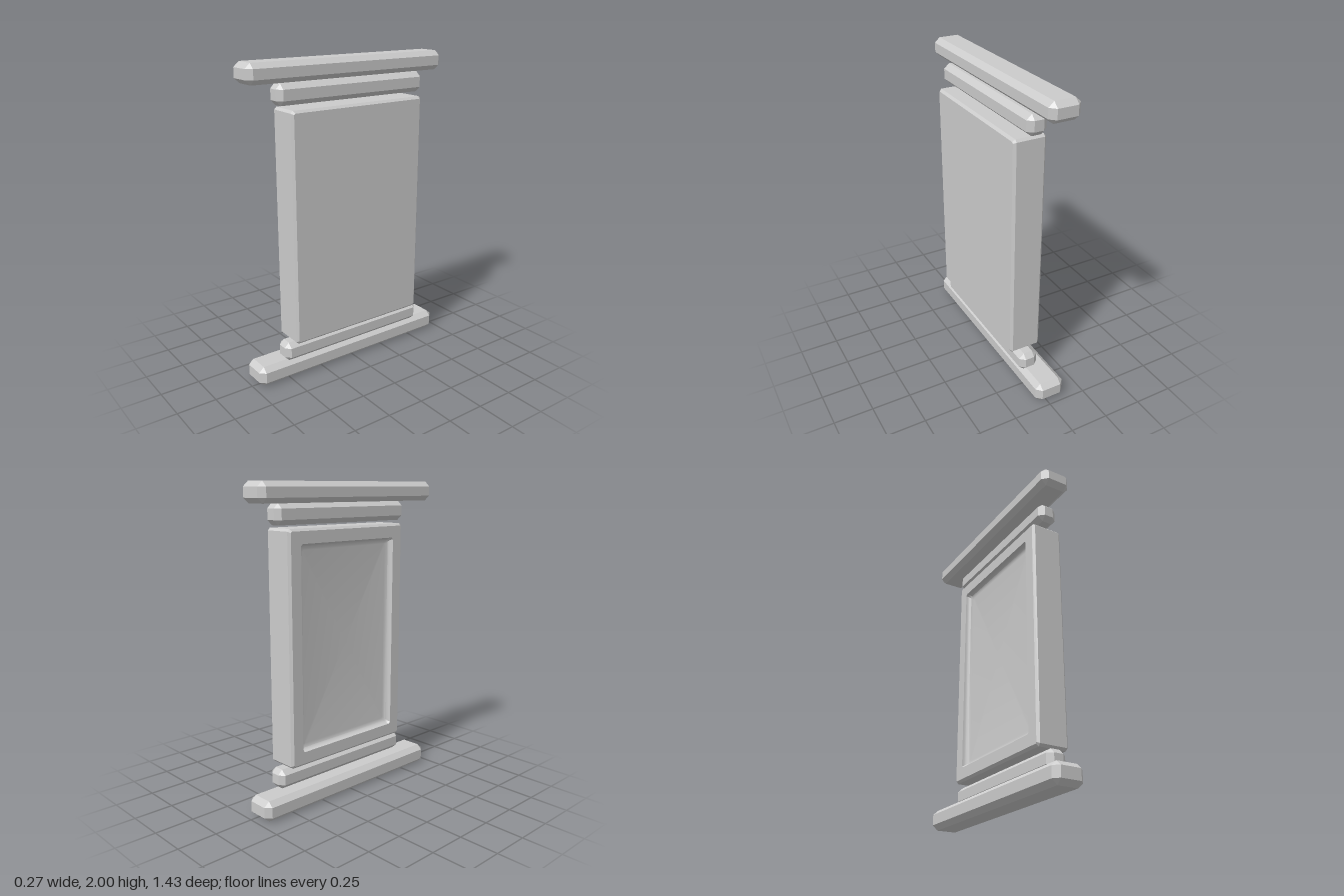
import * as THREE from 'three';
import { ConvexGeometry } from 'three/addons/geometries/ConvexGeometry.js';
import { toCreasedNormals } from 'three/addons/utils/BufferGeometryUtils.js';

const material = new THREE.MeshStandardMaterial({ color: 0xcccccc });

// Box with every edge and corner cut off; x, y, z are [min, max], cut is per axis
function chamferedBar(name, x, y, z, cut) {
  const ranges = [x, y, z];
  const points = [];
  for (let full = 0; full < 3; full++) {
    for (let corner = 0; corner < 8; corner++) {
      const p = ranges.map(([min, max], axis) => {
        const inset = axis === full ? 0 : cut[axis];
        return (corner >> axis) & 1 ? max - inset : min + inset;
      });
      points.push(new THREE.Vector3(...p));
    }
  }
  const mesh = new THREE.Mesh(new ConvexGeometry(points), material);
  mesh.name = name;
  return mesh;
}

// Rectangle outline in the yz plane with clipped corners
function outline(x, halfY, halfZ, cut) {
  const h = halfY, w = halfZ, c = cut;
  return [
    [h, -w + c], [h, w - c], [h - c, w], [-h + c, w],
    [-h, w - c], [-h, -w + c], [-h + c, -w], [h - c, -w],
  ].map(([y, z]) => new THREE.Vector3(x, y, z));
}

// Skin over a row of outlines running from +x to -x
function loft(rings) {
  const positions = [];
  const triangle = (a, b, c) => {
    if (a.equals(b) || b.equals(c) || a.equals(c)) return;
    for (const p of [a, b, c]) positions.push(p.x, p.y, p.z);
  };
  for (let k = 0; k + 1 < rings.length; k++) {
    for (let i = 0; i < 8; i++) {
      const j = (i + 1) % 8;
      triangle(rings[k][i], rings[k + 1][i], rings[k][j]);
      triangle(rings[k][j], rings[k + 1][i], rings[k + 1][j]);
    }
  }
  const geometry = new THREE.BufferGeometry();
  geometry.setAttribute('position', new THREE.Float32BufferAttribute(positions, 3));
  return toCreasedNormals(geometry, 0.5);
}

// Slab with a plain +x face and a shallow filleted recess in the -x face
function recessedPanel() {
  const halfY = 0.733, halfZ = 0.485, bevel = 0.015;
  const back = 0.135, front = -0.075;
  const margin = 0.09, depth = 0.04, slope = 0.04;
  const ring = (x, inset, cut = bevel) => outline(x, halfY - inset, halfZ - inset, cut);
  const rings = [
    outline(back, 0, 0, 0),
    ring(back, bevel, 0.008),
    ring(back - bevel, 0),
    ring(front + bevel, 0),
    ring(front, bevel, 0.008),
  ];
  // Concave fillet from the rim down to the recess floor
  const steps = 5;
  for (let s = 0; s <= steps; s++) {
    const a = (s / steps) * Math.PI / 2;
    rings.push(ring(front + depth * Math.sin(a), margin + slope * (1 - Math.cos(a)), 0.012));
  }
  rings.push(outline(front + depth, 0, 0, 0));

  const mesh = new THREE.Mesh(loft(rings), material);
  mesh.name = 'recessedPanel';
  mesh.position.set(0, 0.998, 0.005);
  return mesh;
}

export function createModel() {
  const model = new THREE.Group();
  model.name = 'framedPanel';

  const longCut = [0.034, 0.031, 0.035];
  const shortCut = [0.034, 0.031, 0.03];
  model.add(
    recessedPanel(),
    // Long outer rails
    chamferedBar('topRail', [-0.137, 0.06], [1.877, 2], [-0.717, 0.717], longCut),
    chamferedBar('bottomRail', [-0.127, 0.07], [0, 0.13], [-0.717, 0.717], longCut),
    // Short mouldings between rails and panel
    chamferedBar('upperMoulding', [-0.048, 0.08], [1.75, 1.877], [-0.538, 0.538], shortCut),
    chamferedBar('lowerMoulding', [-0.038, 0.09], [0.13, 0.255], [-0.538, 0.538], shortCut),
  );
  return model;
}
